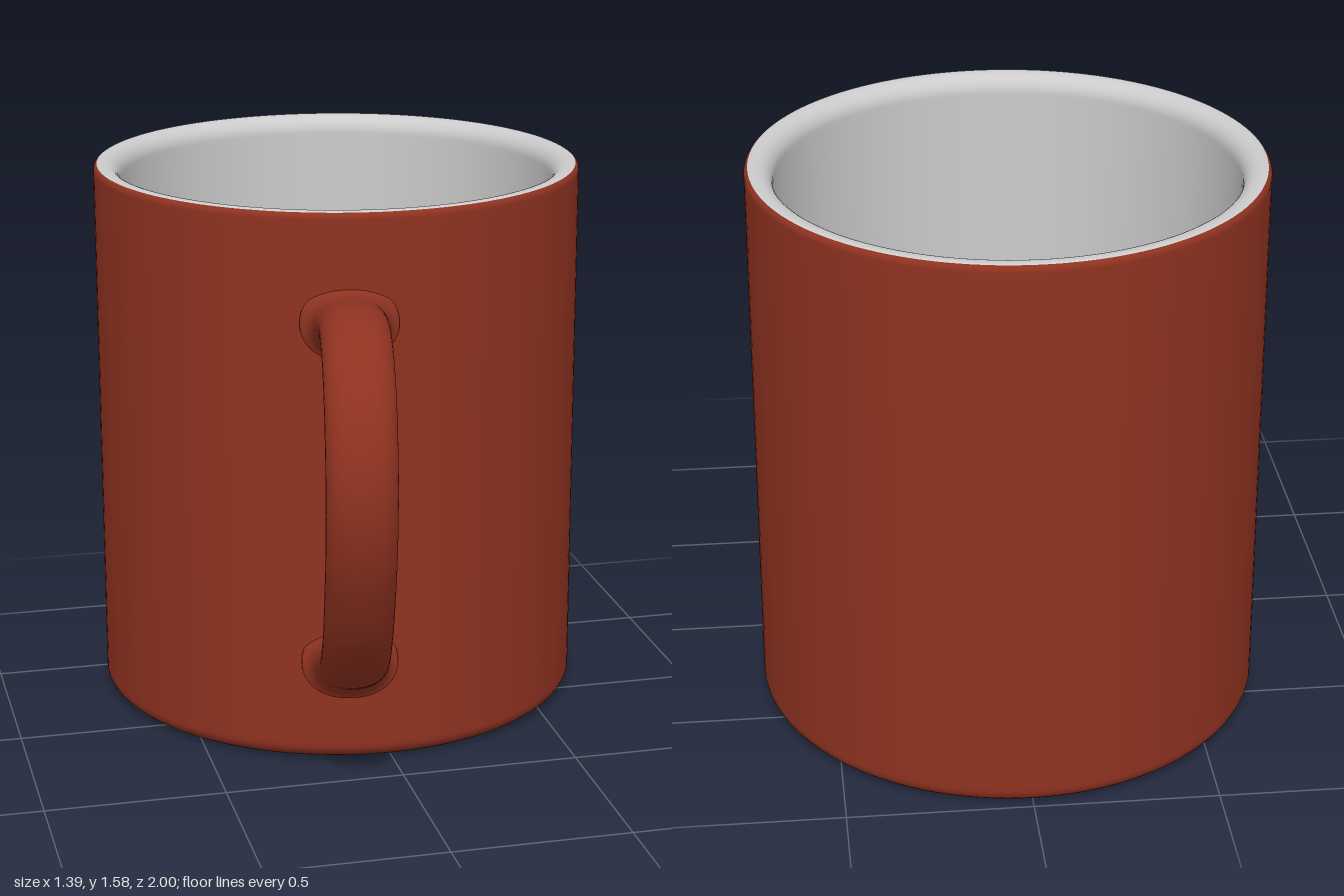
import * as THREE from 'three';

const CUP_Z = -0.305, R = 0.695, H = 1.575, INNER = 0.62, FLOOR = 0.07;
const HANDLE_ANGLE = -0.178;

const glaze = new THREE.MeshStandardMaterial({ color: 0x8f3220, roughness: 0.6 });
const grey = new THREE.MeshStandardMaterial({ color: 0xcccccc });

// Points on an elliptical arc, for rounded profile corners
function arc(cx, cy, rx, ry, from, to, n = 8) {
  return Array.from({ length: n + 1 }, (_, i) => {
    const a = THREE.MathUtils.degToRad(from + (to - from) * i / n);
    return new THREE.Vector2(cx + rx * Math.cos(a), cy + ry * Math.sin(a));
  });
}

function lathe(name, points, material) {
  const mesh = new THREE.Mesh(new THREE.LatheGeometry(points, 128), material);
  mesh.name = name;
  return mesh;
}

// Tapered oval swept along a curve in the radial (z, y) plane, flaring at the wall
function handleGeometry() {
  const path = new THREE.CatmullRomCurve3([
    [0.66, 1.268], [0.737, 1.28], [0.84, 1.303], [0.96, 1.315], [1.09, 1.275],
    [1.195, 1.18], [1.248, 1.06], [1.26, 0.95], [1.235, 0.81], [1.165, 0.66],
    [1.077, 0.53], [0.96, 0.415], [0.818, 0.345], [0.716, 0.31], [0.66, 0.295],
  ].map(([r, y]) => new THREE.Vector3(0, y, r)));
  const rings = 140, sides = 40, pos = [], index = [];
  for (let i = 0; i <= rings; i++) {
    // Rings are packed closer together at both ends
    const s = i / rings, u = s - 0.85 * Math.sin(2 * Math.PI * s) / (2 * Math.PI);
    const p = path.getPointAt(u), t = path.getTangentAt(u);
    const d = Math.max(0, p.z - R);
    const soft = Math.exp(-d / 0.1), tight = Math.exp(-d / 0.02);
    const thick = 0.064 + 0.018 * soft + 0.022 * tight;
    const wide = 0.092 + 0.012 * soft + 0.03 * tight;
    for (let j = 0; j <= sides; j++) {
      const a = (j % sides) / sides * Math.PI * 2;
      const c = Math.cos(a), q = Math.sin(a);
      const x = wide * Math.sign(c) * Math.abs(c) ** 0.92;
      const n = thick * Math.sign(q) * Math.abs(q) ** 0.92;
      pos.push(x, p.y + n * t.z, p.z - n * t.y);
    }
  }
  const row = sides + 1;
  for (let i = 0; i < rings; i++) {
    for (let j = 0; j < sides; j++) {
      const a = i * row + j, b = a + row;
      index.push(a, a + 1, b, a + 1, b + 1, b);
    }
  }
  const g = new THREE.BufferGeometry();
  g.setAttribute('position', new THREE.Float32BufferAttribute(pos, 3));
  g.setIndex(index);
  g.computeVertexNormals();
  // Average the normals where each ring closes
  const nor = g.attributes.normal;
  for (let i = 0; i <= rings; i++) {
    const a = i * row, b = a + sides;
    const v = new THREE.Vector3().fromBufferAttribute(nor, a)
      .add(new THREE.Vector3().fromBufferAttribute(nor, b)).normalize();
    nor.setXYZ(a, v.x, v.y, v.z);
    nor.setXYZ(b, v.x, v.y, v.z);
  }
  return g;
}

export function createModel() {
  const mug = new THREE.Group();
  mug.name = 'mug';
  const cup = new THREE.Group();
  cup.name = 'cup';
  cup.position.z = CUP_Z;
  mug.add(cup);

  // Glazed outside wall with rounded foot and lip edge
  cup.add(lathe('outerWall', [
    ...arc(0.63, 0.05, 0.065, 0.05, -90, 0),
    new THREE.Vector2(R, 0.06), new THREE.Vector2(R, H - 0.03),
    ...arc(R - 0.02, H - 0.02, 0.02, 0.02, 0, 60, 6),
  ], glaze));

  // Pale rim, inside wall and floor
  cup.add(lathe('lining', [
    ...arc(R - 0.02, H - 0.02, 0.02, 0.02, 60, 90, 4),
    ...arc(INNER + 0.05, H - 0.05, 0.05, 0.05, 90, 180, 10),
    new THREE.Vector2(INNER, H - 0.06), new THREE.Vector2(INNER, FLOOR + 0.05),
    ...arc(INNER - 0.04, FLOOR + 0.04, 0.04, 0.04, 0, -90),
    new THREE.Vector2(INNER - 0.05, FLOOR), new THREE.Vector2(0, FLOOR),
  ], grey));

  // Unglazed underside
  cup.add(lathe('base', [new THREE.Vector2(0, 0), new THREE.Vector2(0.63, 0)], grey));

  // Handle, set radially a little to the side of the front
  const handle = new THREE.Mesh(handleGeometry(), glaze);
  handle.name = 'handle';
  handle.rotation.y = HANDLE_ANGLE;
  cup.add(handle);

  return mug;
}
